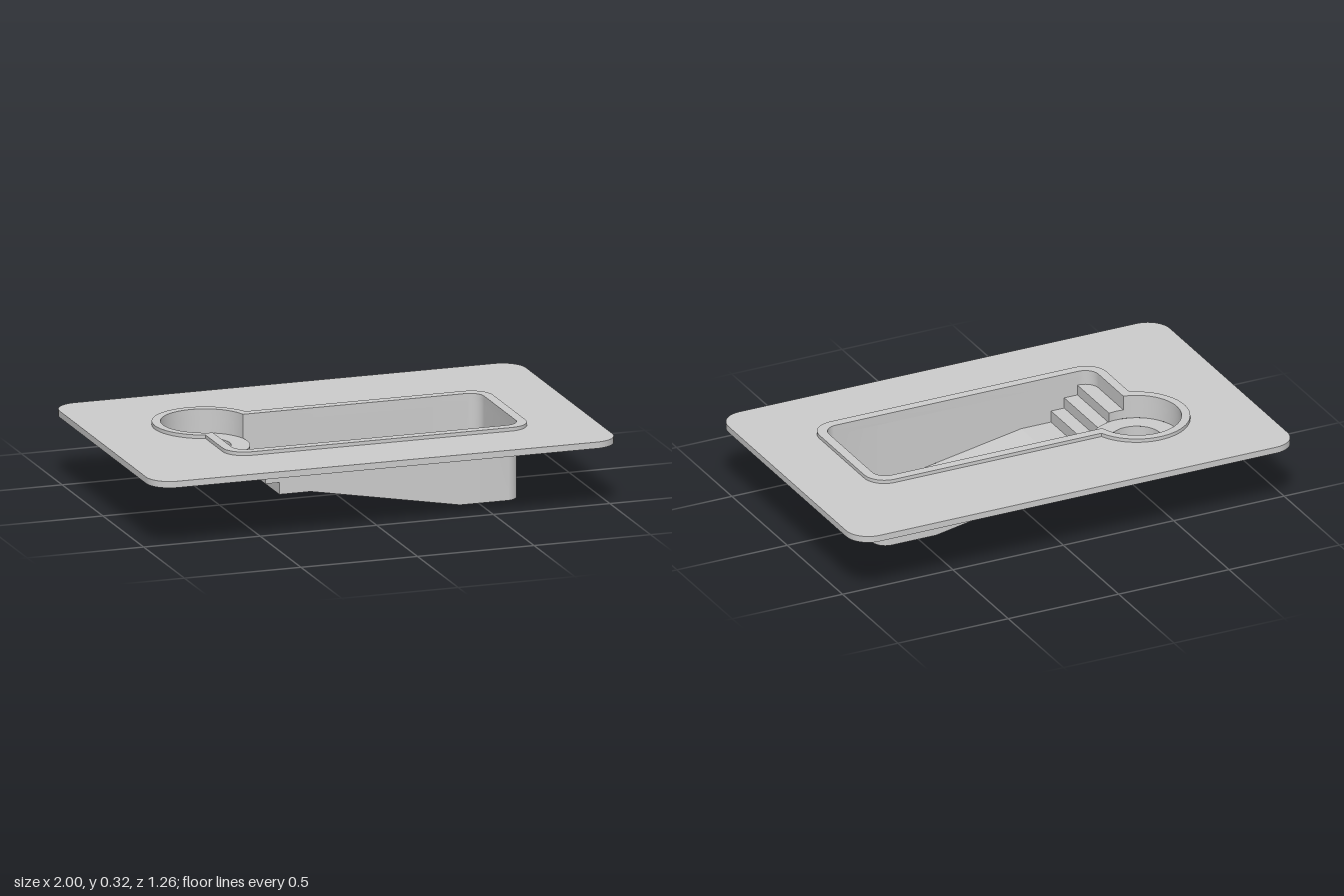
import * as THREE from 'three';
import { toCreasedNormals } from 'three/addons/utils/BufferGeometryUtils.js';

// Levels and plan dimensions
const DECK_TOP = 0.302, DECK_BOTTOM = 0.275, COPING_TOP = 0.317, BENCH = 0.216, WELL = 0.134;
const POOL = { x0: -0.54, x1: 0.68, z0: -0.188, z1: 0.32, r: 0.06 };
const SPA = { x: -0.51, z: -0.145, r: 0.182, well: 0.105 };
const STEPS = [{ x: -0.475, y: 0.255 }, { x: -0.415, y: 0.211 }, { x: -0.355, y: 0.165 }];
const STEP_END = -0.018, SHALLOW = 0.115, SLOPE0 = -0.22, SLOPE1 = 0.42;
const BREAKS = [...STEPS.map((s) => s.x), SLOPE0, SLOPE1];

// Height of the basin floor; the last step stops short of the spa
function floorAt(x, z) {
  for (const s of STEPS) if (x < s.x && (s !== STEPS[2] || z > STEP_END)) return s.y;
  return SHALLOW * (1 - THREE.MathUtils.clamp((x - SLOPE0) / (SLOPE1 - SLOPE0), 0, 1));
}

function arc(cx, cz, r, a0, a1, n) {
  return Array.from({ length: n + 1 }, (_, i) => {
    const a = a0 + (a1 - a0) * i / n;
    return new THREE.Vector2(cx + r * Math.cos(a), cz + r * Math.sin(a));
  });
}

// Rounded basin outline and the two spa arcs, grown outward by o
function plan(o) {
  const x0 = POOL.x0 - o, x1 = POOL.x1 + o, z0 = POOL.z0 - o, z1 = POOL.z1 + o;
  const r = POOL.r + o * 0.8, R = SPA.r + o * 0.88, H = Math.PI / 2;
  const a0 = Math.asin((z0 - SPA.z) / R), a1 = Math.acos((x0 - SPA.x) / R);
  return {
    sides: [
      new THREE.Vector2(x0, SPA.z + R * Math.sin(a1)),
      ...arc(x0 + r, z1 - r, r, 2 * H, H, 10),
      ...arc(x1 - r, z1 - r, r, H, 0, 10),
      ...arc(x1 - r, z0 + r, r, 0, -H, 10),
      new THREE.Vector2(SPA.x + R * Math.cos(a0), z0),
    ],
    outer: arc(SPA.x, SPA.z, R, a0, a1 - 2 * Math.PI, 56),
    inner: arc(SPA.x, SPA.z, R, a0, a1, 32),
  };
}
const opening = ({ sides, outer }) => [...sides, ...outer.slice(1, -1)];

// Keep the part of a polygon on one side of an axis-aligned line
function clip(poly, axis, value, sign) {
  const out = [];
  poly.forEach((p, i) => {
    const q = poly[(i + 1) % poly.length];
    const dp = sign * (p[axis] - value), dq = sign * (q[axis] - value);
    if (dp >= 0) out.push(p);
    if (dp * dq < 0) out.push(p.clone().lerp(q, dp / (dp - dq)));
  });
  return out;
}

// Split a path wherever the floor profile changes
function splitPath(path) {
  const out = [path[0]];
  for (let i = 1; i < path.length; i++) {
    const p = path[i - 1], q = path[i];
    const cuts = BREAKS.map((b) => (b - p.x) / (q.x - p.x)).filter((t) => t > 0 && t < 1);
    cuts.sort((a, b) => a - b).forEach((t) => out.push(p.clone().lerp(q, t)));
    out.push(q);
  }
  return out;
}

// Vertical ribbon from a top level down to a level given by a rule
function wall(path, top, bottomAt) {
  const pts = splitPath(path), pos = [];
  for (let i = 1; i < pts.length; i++) {
    const p = pts[i - 1], q = pts[i];
    const pn = p.clone().lerp(q, 0.001), qn = q.clone().lerp(p, 0.001);
    const bp = bottomAt(pn.x, pn.y), bq = bottomAt(qn.x, qn.y);
    pos.push(p.x, top, p.y, p.x, bp, p.y, q.x, bq, q.y);
    pos.push(p.x, top, p.y, q.x, bq, q.y, q.x, top, q.y);
  }
  const g = new THREE.BufferGeometry();
  g.setAttribute('position', new THREE.Float32BufferAttribute(pos, 3));
  return toCreasedNormals(g, 0.6);
}

// Horizontal or sloping patch
function patch(poly, heightAt) {
  const g = new THREE.ShapeGeometry(new THREE.Shape(poly)).rotateX(Math.PI / 2);
  const p = g.attributes.position;
  for (let i = 0; i < p.count; i++) p.setY(i, heightAt(p.getX(i)));
  g.computeVertexNormals();
  return g;
}

// Slab with the basin opening cut through it
function slab(outline, hole, bottom, top) {
  const s = new THREE.Shape(outline);
  s.holes.push(new THREE.Path(hole));
  const g = new THREE.ExtrudeGeometry(s, { depth: top - bottom, bevelEnabled: false });
  return toCreasedNormals(g.rotateX(Math.PI / 2).translate(0, top, 0), 0.6);
}

export function createModel() {
  const group = new THREE.Group();
  const stone = new THREE.MeshStandardMaterial({ color: 0xcccccc, side: THREE.DoubleSide });
  stone.name = 'pale grey';
  const add = (name, geometry) => {
    const m = new THREE.Mesh(geometry, stone);
    m.name = name;
    group.add(m);
    return m;
  };

  const basin = plan(0), rim = plan(0.04), H = Math.PI / 2;
  const hole = opening(basin);

  // Deck and raised coping
  const r = 0.1, w = 1 - r, d = 0.632 - r;
  const deckOutline = [[w, d, 0], [-w, d, 1], [-w, -d, 2], [w, -d, 3]]
    .flatMap(([x, z, k]) => arc(x, z, r, k * H, (k + 1) * H, 10));
  add('deck', slab(deckOutline, hole, DECK_BOTTOM, DECK_TOP));
  add('coping', slab(opening(rim), hole, DECK_TOP, COPING_TOP));

  // Basin walls
  add('poolWall', wall(basin.sides, DECK_BOTTOM, floorAt));
  add('spaWall', wall(basin.outer, DECK_BOTTOM, () => BENCH));
  add('spaDivider', wall(basin.inner, BENCH, floorAt));

  // Pool floor: shallow end, slope and deep end
  const poolArea = [...basin.sides, ...basin.inner.slice(1, -1)];
  const strip = (a, b) => clip(clip(poolArea, 'x', a, 1), 'x', b, -1);
  const level = (x) => floorAt(x, -1);
  const lastX = STEPS[2].x;
  add('shallowFloor', patch(strip(lastX, SLOPE0), level));
  add('slopingFloor', patch(strip(SLOPE0, SLOPE1), level));
  add('deepFloor', patch(strip(SLOPE1, POOL.x1), level));
  add('shallowFloorCorner', patch(clip(strip(STEPS[1].x, lastX), 'y', STEP_END, -1), () => SHALLOW));

  // Entry steps: treads and risers
  STEPS.forEach((s, i) => {
    const left = i ? STEPS[i - 1].x : POOL.x0;
    let area = strip(left, s.x);
    if (i === 2) area = clip(area, 'y', STEP_END, 1);
    add('stepTread', patch(area, () => s.y));
    const next = i < 2 ? STEPS[i + 1].y : SHALLOW;
    const back = i < 2 ? SPA.z + Math.sqrt(SPA.r ** 2 - (s.x - SPA.x) ** 2) : STEP_END;
    const line = [new THREE.Vector2(s.x, back), new THREE.Vector2(s.x, POOL.z1)];
    add('stepRiser', wall(line, s.y, () => next));
  });
  const endX = SPA.x + Math.sqrt(SPA.r ** 2 - (STEP_END - SPA.z) ** 2);
  add('stepEnd', wall([new THREE.Vector2(endX, STEP_END), new THREE.Vector2(lastX, STEP_END)],
    STEPS[2].y, () => SHALLOW));

  // Spa bench and foot well
  add('spaBench', new THREE.RingGeometry(SPA.well, SPA.r, 64).rotateX(-H))
    .position.set(SPA.x, BENCH, SPA.z);
  add('spaWellWall', new THREE.CylinderGeometry(SPA.well, SPA.well, BENCH - WELL, 48, 1, true))
    .position.set(SPA.x, (BENCH + WELL) / 2, SPA.z);
  add('spaWellFloor', new THREE.CircleGeometry(SPA.well, 48).rotateX(-H))
    .position.set(SPA.x, WELL, SPA.z);

  return group;
}
